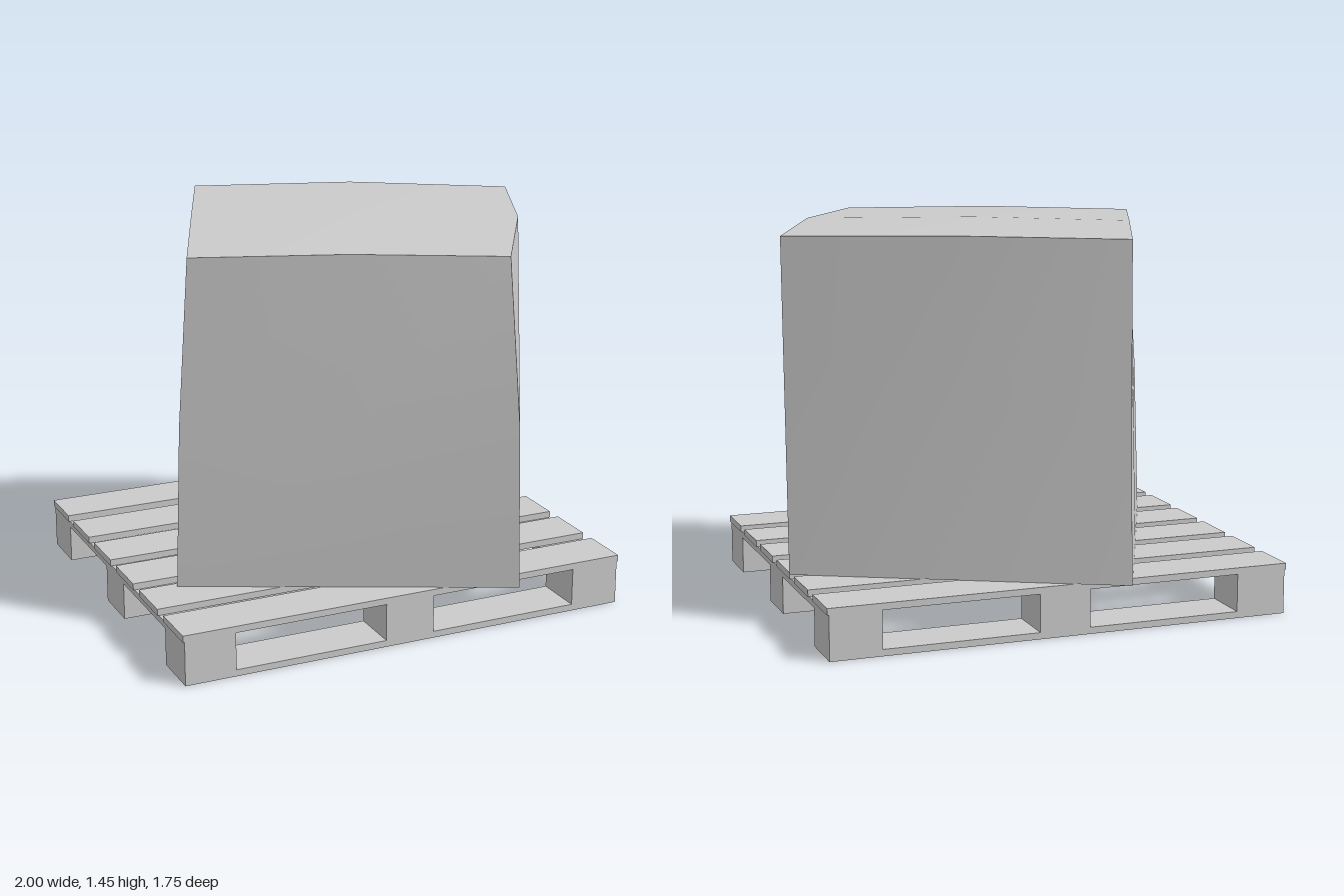
import * as THREE from 'three';

const material = new THREE.MeshStandardMaterial({ color: 0xcccccc });
const WIDTH = 1.77, DEPTH = 1.463, BOARD = 0.193;

function addBox(parent, name, [w, h, d], [x, y, z]) {
  const mesh = new THREE.Mesh(new THREE.BoxGeometry(w, h, d), material);
  mesh.name = name;
  mesh.position.set(x, y + h / 2, z);
  parent.add(mesh);
}

// Wooden pallet: bottom runners, blocks, cross boards and deck boards
function createPallet() {
  const pallet = new THREE.Group();
  pallet.name = 'pallet';
  const under = WIDTH - 0.012;
  const xs = [-1, 0, 1].map((s) => s * (under - BOARD) / 2);
  const zs = [-1, 0, 1].map((s) => s * (DEPTH - BOARD) / 2);

  for (const z of zs) {
    addBox(pallet, 'bottomRunner', [under, 0.025, BOARD], [0, 0, z]);
    for (const x of xs) addBox(pallet, 'block', [BOARD, 0.117, BOARD], [x, 0.025, z]);
  }
  for (const x of xs) addBox(pallet, 'crossBoard', [BOARD, 0.025, DEPTH], [x, 0.142, 0]);
  const count = 6;
  for (let i = 0; i < count; i++) {
    const z = (i / (count - 1) - 0.5) * (DEPTH - BOARD);
    addBox(pallet, 'deckBoard', [WIDTH, 0.025, BOARD], [0, 0.167, z]);
  }
  pallet.rotation.y = THREE.MathUtils.degToRad(10.1);
  return pallet;
}

// Slightly sagging wrapped load: each level lists [x, z] of its four corners
function createLoad() {
  const levels = [
    { y: 0.192, bulge: 0, rise: 0, corners: [[-0.68, 0.44], [0.53, 0.765], [0.835, -0.405], [-0.36, -0.775]] },
    { y: 0.8, bulge: 0.015, rise: 0, corners: [[-0.66, 0.44], [0.515, 0.765], [0.84, -0.4], [-0.36, -0.735]] },
    { y: 1.428, bulge: 0.038, rise: 0.01, corners: [[-0.62, 0.445], [0.482, 0.71], [0.845, -0.39], [-0.36, -0.72]] },
  ];
  const geometry = new THREE.BoxGeometry(2, 2, 2, 2, 2, 2);
  const pos = geometry.attributes.position;
  for (let i = 0; i < pos.count; i++) {
    const u = pos.getX(i), w = pos.getZ(i);
    const { y, bulge, rise, corners } = levels[Math.round(pos.getY(i)) + 1];
    const weights = [(1 - u) * (1 + w), (1 + u) * (1 + w), (1 + u) * (1 - w), (1 - u) * (1 - w)];
    let x = 0, z = 0;
    weights.forEach((k, c) => {
      x += k / 4 * corners[c][0];
      z += k / 4 * corners[c][1];
    });
    // Right and back sides bow outward at their middles
    const right = u > 0.5 ? bulge * (1 - w * w) : 0;
    const back = w < -0.5 ? bulge * (1 - u * u) : 0;
    x += 0.96 * right + 0.27 * back;
    z += 0.29 * right - 0.96 * back;
    // Top is gently domed
    pos.setXYZ(i, x, y + rise * (2 - u * u - w * w), z);
  }
  geometry.computeVertexNormals();
  const load = new THREE.Mesh(geometry, material);
  load.name = 'wrappedLoad';
  return load;
}

export function createModel() {
  const model = new THREE.Group();
  model.name = 'loadedPallet';
  model.add(createPallet(), createLoad());
  return model;
}
